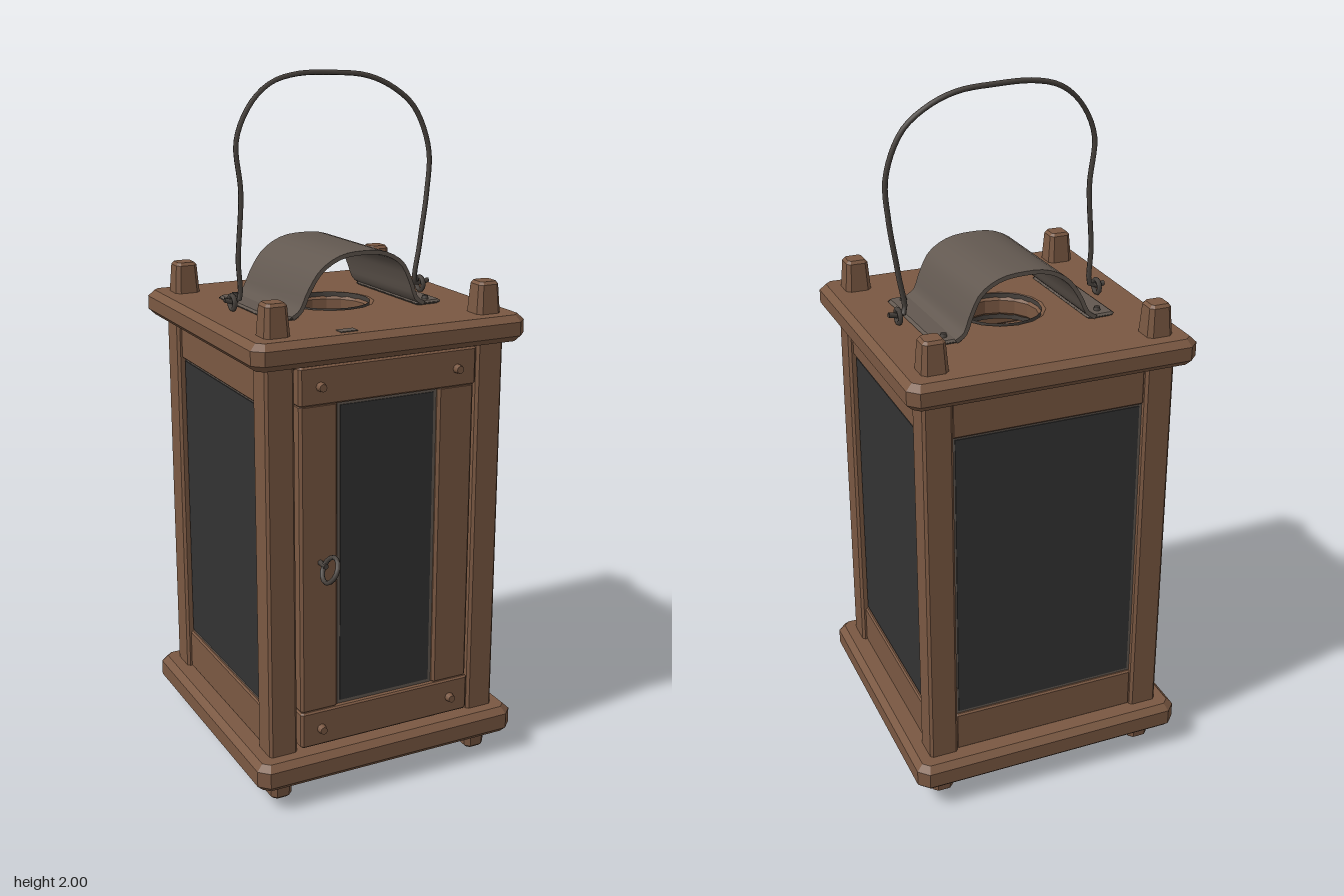
import * as THREE from 'three';
import { toCreasedNormals } from 'three/addons/utils/BufferGeometryUtils.js';

const material = (name, color, side = THREE.FrontSide) => {
  const m = new THREE.MeshStandardMaterial({ color, side });
  m.name = name;
  return m;
};

// Box with cut corners and chamfered edges, optionally with a round hole through it
function slab(w, h, d, c, holeRadius = 0) {
  const b = c * 0.6, x = w / 2 - b, y = d / 2 - b, k = c * 0.6;
  const shape = new THREE.Shape([
    [x - k, -y], [x, -y + k], [x, y - k], [x - k, y],
    [-x + k, y], [-x, y - k], [-x, -y + k], [-x + k, -y],
  ].map(p => new THREE.Vector2(...p)));
  if (holeRadius) shape.holes.push(new THREE.Path().absarc(0, 0, holeRadius, 0, Math.PI * 2, true));
  const g = new THREE.ExtrudeGeometry(shape, {
    depth: h - 2 * b, bevelEnabled: true, bevelThickness: b, bevelSize: b, bevelSegments: 1, curveSegments: 8,
  });
  g.translate(0, 0, b - h / 2);
  return g.rotateX(-Math.PI / 2);
}

// Four-sided peg narrowing from bottom width to top width
function peg(bottom, top, h) {
  const g = slab(bottom, h, bottom, 0.014), p = g.attributes.position;
  for (let i = 0; i < p.count; i++) {
    const s = 1 + (top / bottom - 1) * (p.getY(i) / h + 0.5);
    p.setX(i, p.getX(i) * s);
    p.setZ(i, p.getZ(i) * s);
  }
  g.computeVertexNormals();
  return g;
}

export function createModel() {
  const wood = material('brown wood', 0x7a5842);
  const glass = material('dark glass', 0x333333);
  const tin = material('grey tin', 0x625850);
  const iron = material('dark iron', 0x48423d, THREE.DoubleSide);

  const lantern = new THREE.Group();
  lantern.name = 'lantern';
  const body = new THREE.Group();
  body.name = 'body';
  body.position.z = -0.0275;
  lantern.add(body);

  const add = (parent, name, geometry, mat, x = 0, y = 0, z = 0) => {
    const mesh = new THREE.Mesh(geometry, mat);
    mesh.name = name;
    mesh.position.set(x, y, z);
    parent.add(mesh);
    return mesh;
  };

  // Base board and roof board with the smoke hole
  add(body, 'baseBoard', slab(0.83, 0.082, 0.826, 0.03), wood, 0, 0.105, 0);
  add(body, 'roofBoard', slab(0.83, 0.075, 0.826, 0.03, 0.13), wood, 0, 1.315, 0);
  add(body, 'smokeHoleRim', new THREE.CylinderGeometry(0.118, 0.118, 0.08, 20, 1, true), iron, 0, 1.315, 0);

  // Corner posts with pegs through the roof and short feet
  for (const sx of [-1, 1]) for (const sz of [-1, 1]) {
    const x = sx * 0.3225, z = sz * 0.32;
    add(body, 'cornerPost', slab(0.085, 1.16, 0.085, 0.008), wood, x, 0.71, z);
    add(body, 'roofPeg', peg(0.08, 0.062, 0.12), wood, x, 1.382, z);
    add(body, 'foot', peg(0.062, 0.074, 0.08), wood, x, 0.04, z);
  }

  // Glass pane with a thin tin edge
  const pane = (parent, w, h, z) => {
    add(parent, 'paneEdge', new THREE.BoxGeometry(w, h, 0.01), tin, 0, 0.713, z - 0.005);
    add(parent, 'glassPane', new THREE.BoxGeometry(w - 0.024, h - 0.024, 0.012), glass, 0, 0.713, z - 0.003);
  };

  // Left, right and back walls
  for (const [name, angle] of [['leftWall', 1], ['backWall', 2], ['rightWall', 3]]) {
    const wall = new THREE.Group();
    wall.name = name;
    wall.rotation.y = angle * Math.PI / 2;
    for (const y of [0.205, 1.219]) add(wall, 'rail', slab(0.568, 0.122, 0.05, 0.008), wood, 0, y, 0.327);
    pane(wall, 0.566, 0.9, 0.343);
    body.add(wall);
  }

  // Front door
  const door = new THREE.Group();
  door.name = 'door';
  body.add(door);
  for (const y of [0.21, 1.215]) {
    add(door, 'doorRail', slab(0.545, 0.108, 0.05, 0.008), wood, 0, y, 0.347);
    for (const x of [-0.21, 0.21]) {
      add(door, 'doorNail', new THREE.CylinderGeometry(0.011, 0.014, 0.02, 8), wood, x, y - 0.002, 0.38).rotation.x = Math.PI / 2;
    }
  }
  for (const x of [-0.212, 0.212]) add(door, 'doorStile', slab(0.115, 0.9, 0.045, 0.008), wood, x, 0.713, 0.344);
  add(door, 'frameHead', new THREE.BoxGeometry(0.57, 0.02, 0.04), wood, 0, 1.272, 0.33);
  pane(door, 0.312, 0.9, 0.355);

  // Door pull ring on a short pin
  const ring = add(door, 'pullRing', new THREE.TorusGeometry(0.036, 0.007, 6, 14), iron, -0.21, 0.713, 0.4275);
  ring.rotation.set(-0.45, Math.PI / 2, 0, 'XYZ');
  ring.rotation.set(0, Math.PI / 2, 0);
  ring.rotateX(0.45);
  add(door, 'pullPin', new THREE.CylinderGeometry(0.008, 0.008, 0.05, 6), iron, -0.21, 0.713, 0.378).rotation.x = Math.PI / 2;

  // Bent tin hood over the smoke hole
  const hood = new THREE.Group();
  hood.name = 'hood';
  hood.rotation.y = 0.035;
  body.add(hood);
  const curve = new THREE.CatmullRomCurve3([
    [-0.21, 1.358], [-0.185, 1.375], [-0.16, 1.425], [-0.12, 1.48], [-0.06, 1.513], [0.01, 1.52],
    [0.08, 1.512], [0.135, 1.48], [0.165, 1.425], [0.185, 1.375], [0.21, 1.358],
  ].map(([x, y]) => new THREE.Vector3(x, y, 0)));
  const outer = [], inner = [];
  for (let i = 0; i <= 28; i++) {
    const p = curve.getPoint(i / 28), t = curve.getTangent(i / 28);
    outer.push(new THREE.Vector2(p.x - t.y * 0.006, p.y + t.x * 0.006));
    inner.unshift(new THREE.Vector2(p.x + t.y * 0.006, p.y - t.x * 0.006));
  }
  const arch = new THREE.ExtrudeGeometry(new THREE.Shape([...outer, ...inner]), { depth: 0.362, bevelEnabled: false });
  add(hood, 'hoodArch', toCreasedNormals(arch, 0.6), tin, 0, 0, -0.181);
  for (const s of [-1, 1]) {
    add(hood, 'hoodFlange', slab(0.085, 0.012, 0.362, 0.012), tin, s * 0.229, 1.358, 0);
    for (const z of [-0.145, 0.15]) {
      add(hood, 'hoodRivet', new THREE.CylinderGeometry(0.008, 0.011, 0.012, 8), iron, s * 0.232, 1.368, z);
    }
  }

  // Wire bail hooked into two eyelets
  const path = new THREE.CatmullRomCurve3([
    [-0.325, 1.385, -0.03], [-0.285, 1.38, -0.025], [-0.284, 1.5, -0.022], [-0.27, 1.68, -0.028],
    [-0.28, 1.82, -0.03], [-0.235, 1.915, -0.037], [-0.17, 1.97, -0.045], [-0.09, 1.992, -0.05],
    [0.03, 1.993, -0.053], [0.13, 1.983, -0.05], [0.21, 1.95, -0.045], [0.28, 1.89, -0.038],
    [0.325, 1.77, -0.03], [0.32, 1.65, -0.028], [0.297, 1.5, -0.024], [0.285, 1.38, -0.025], [0.33, 1.385, -0.03],
  ].map(p => new THREE.Vector3(...p)));
  add(lantern, 'bail', new THREE.TubeGeometry(path, 72, 0.0075, 6), iron);
  for (const x of [-0.302, 0.302]) {
    const eyelet = add(lantern, 'eyelet', new THREE.TorusGeometry(0.02, 0.007, 6, 12), iron, x, 1.377, -0.028);
    eyelet.rotation.y = Math.PI / 2;
  }

  // Small grey patch on the roof board
  add(lantern, 'roofPatch', new THREE.BoxGeometry(0.05, 0.004, 0.03), tin, -0.125, 1.353, 0.33);

  return lantern;
}
